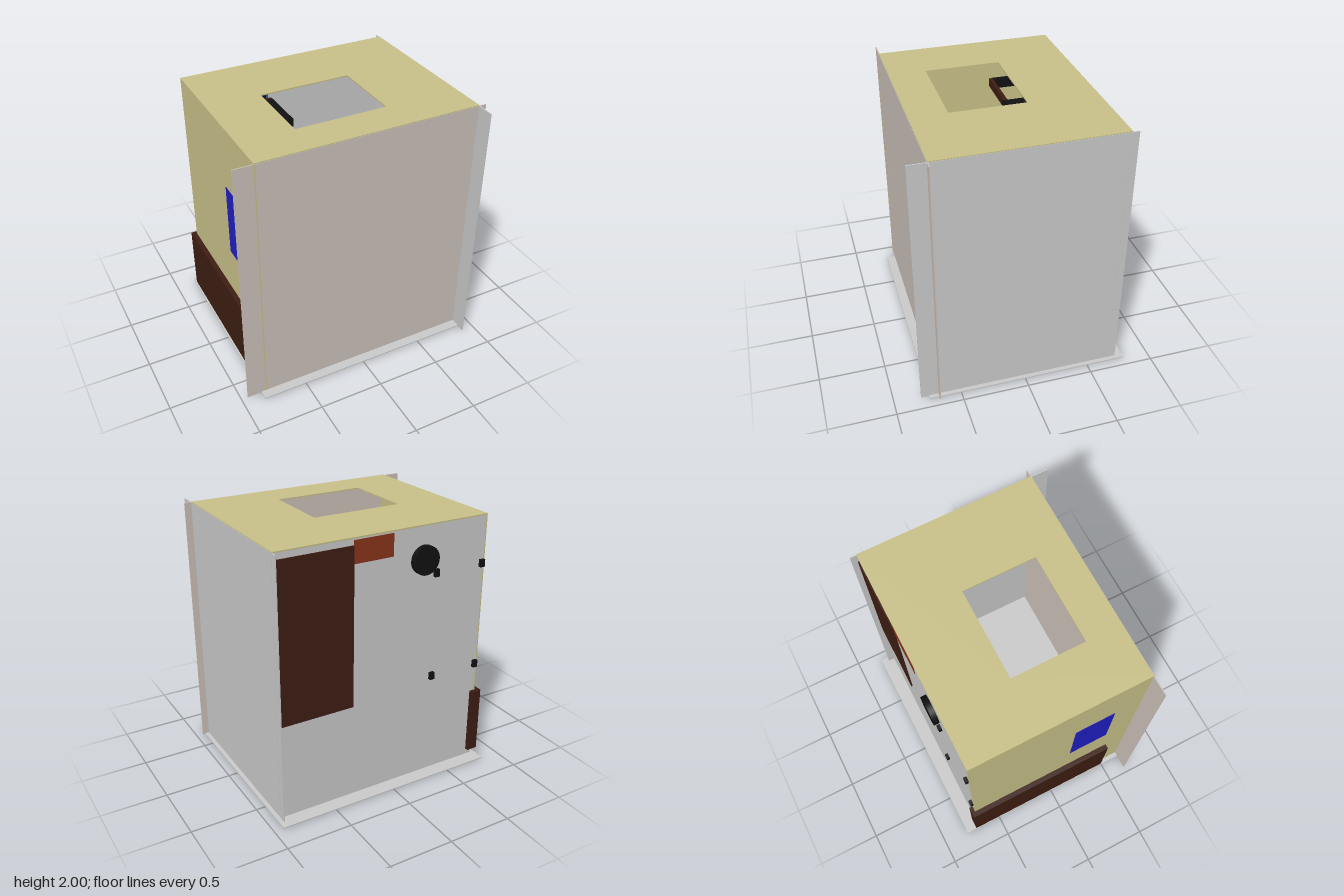
import * as THREE from 'three';

const GREY = 0xcccccc, OCHRE = 0xcac28a, TAUPE = 0xcec3bb, BROWN = 0x3e1e13, BLACK = 0x111111;

export function createModel() {
  const model = new THREE.Group();

  const add = (name, geometry, color) => {
    const mesh = new THREE.Mesh(geometry, new THREE.MeshStandardMaterial({ color }));
    mesh.name = name;
    model.add(mesh);
    return mesh;
  };
  // Box given by its extents along each axis
  const block = (name, color, [x0, x1], [y0, y1], [z0, z1]) => {
    const g = new THREE.BoxGeometry(x1 - x0, y1 - y0, z1 - z0);
    g.translate((x0 + x1) / 2, (y0 + y1) / 2, (z0 + z1) / 2);
    return add(name, g, color);
  };

  // Enclosure: thin panels, some overhanging the corners
  block('floorPanel', GREY, [-0.84, 0.93], [0.003, 0.012], [-0.8, 0.74]);
  block('frontPanel', TAUPE, [-0.95, 0.95], [0.005, 1.994], [0.66, 0.668]);
  block('rightPanel', GREY, [0.89, 0.898], [0.005, 1.994], [-0.74, 0.8]);
  block('backPanel', GREY, [-0.8, 0.9], [0, 1.992], [-0.69, -0.682]);
  block('leftPanel', OCHRE, [-0.804, -0.796], [0, 1.992], [-0.692, 0.67]);

  // Lid with a rectangular opening
  const rect = (Type, x0, x1, z0, z1) => new Type([
    [x0, -z1], [x1, -z1], [x1, -z0], [x0, -z0],
  ].map(([x, y]) => new THREE.Vector2(x, y)));
  const lid = rect(THREE.Shape, -0.804, 0.895, -0.692, 0.665);
  lid.holes.push(rect(THREE.Path, -0.39, 0.31, -0.17, 0.39));
  const lidGeometry = new THREE.ExtrudeGeometry(lid, { depth: 0.01, bevelEnabled: false });
  lidGeometry.rotateX(-Math.PI / 2).translate(0, 1.99, 0);
  add('lid', lidGeometry, OCHRE);

  // Plates and boxes on the outside
  block('backPlate', BROWN, [0.305, 0.868], [0.75, 1.945], [-0.7, -0.689]);
  block('labelPlate', 0x8a351a, [-0.008, 0.305], [1.815, 1.98], [-0.694, -0.689]);
  block('sidePlate', 0x2020c4, [-0.807, -0.803], [0.96, 1.52], [0.128, 0.44]);
  block('sideBox', BROWN, [-0.843, -0.757], [0.06, 0.585], [-0.718, 0.488]);

  // Small hinge studs on the back
  for (const x of [-0.37, -0.775])
    for (const y of [0.825, 1.635])
      block('hingeStud', BLACK, [x - 0.019, x + 0.019], [y - 0.028, y + 0.028], [-0.714, -0.68]);

  // Round port through the back, with a cone inside
  const port = add('roundPort', new THREE.CylinderGeometry(0.107, 0.107, 0.11, 32), BLACK);
  port.rotation.x = Math.PI / 2;
  port.position.set(-0.262, 1.75, -0.675);
  const cone = add('portCone', new THREE.ConeGeometry(0.07, 0.1, 16), GREY);
  cone.rotation.x = Math.PI / 2;
  cone.position.set(-0.262, 1.75, -0.57);

  // Inner liner and open frame below the lid
  block('backLiner', 0x1f5f93, [-0.79, -0.12], [0.8, 1.8], [-0.682, -0.67]);
  block('frameFront', BROWN, [-0.64, -0.145], [1.69, 1.755], [-0.2, -0.171]);
  block('frameBack', BROWN, [-0.64, -0.145], [1.69, 1.755], [-0.55, -0.52]);
  block('frameLeft', BLACK, [-0.64, -0.58], [1.692, 1.757], [-0.52, -0.2]);
  block('frameRight', BLACK, [-0.235, -0.145], [1.692, 1.757], [-0.52, -0.155]);

  return model;
}
